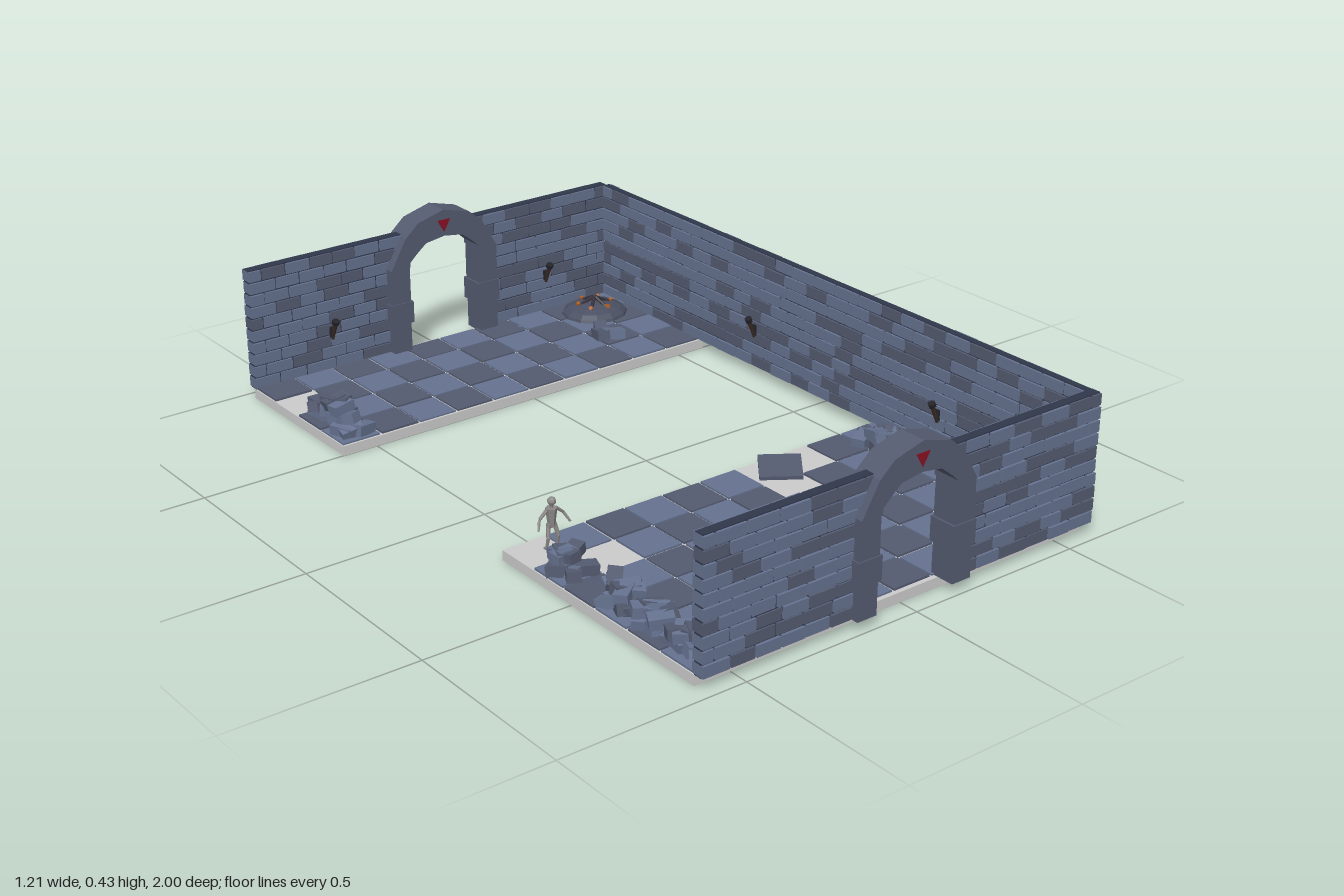
import * as THREE from 'three';
import { mergeGeometries } from 'three/addons/utils/BufferGeometryUtils.js';

const DARK = 0x545b70, LIGHT = 0x65728f, MORTAR = 0x2f374a, GREY = 0xcccccc;
const FLOOR_Y = 0.027;

let seed = 7;
const rnd = () => (seed = (seed * 16807) % 2147483647) / 2147483647;
const jitter = (a) => (rnd() - 0.5) * 2 * a;

const materials = {};
const mat = (color) => (materials[color] ??= new THREE.MeshStandardMaterial({ color, flatShading: true, side: THREE.DoubleSide }));

function mesh(name, geometry, color) {
  const m = new THREE.Mesh(geometry, mat(color));
  m.name = name;
  return m;
}

function box(w, h, d, x, y, z, rx = 0, ry = 0, rz = 0) {
  const g = new THREE.BoxGeometry(w, h, d);
  g.applyMatrix4(new THREE.Matrix4().makeRotationFromEuler(new THREE.Euler(rx, ry, rz)));
  return g.translate(x, y, z);
}

// Collects boxes by shade and merges each shade into one mesh
function shadedGroup(name, lists) {
  const group = new THREE.Group();
  group.name = name;
  for (const [part, list, color] of lists)
    if (list.length) group.add(mesh(part, mergeGeometries(list), color));
  return group;
}

// Running-bond brick wall along x; startAt(y) gives where a course begins
function brickWall(name, startAt, end, thick) {
  const dark = [], light = [], core = [];
  const rows = 10, pitch = 0.0343, len = 0.08, gap = 0.005;
  for (let r = 0; r < rows; r++) {
    const y = FLOOR_Y + (r + 0.5) * pitch, start = startAt(y);
    core.push(box(end - start - 0.006, pitch, thick - 0.012, (start + end) / 2, y, 0));
    let x0 = end;
    let next = end - (r % 2 ? len / 2 : len) + jitter(0.006);
    while (x0 > start + 0.01) {
      if (next - start < 0.025) next = start;
      const w = x0 - next - gap;
      (rnd() < 0.35 ? dark : light).push(
        box(w, pitch - gap, thick + jitter(0.003), (x0 + next) / 2, y, jitter(0.001)));
      x0 = next;
      next = x0 - len + jitter(0.012);
    }
  }
  return shadedGroup(name, [['mortar', core, MORTAR], ['darkBricks', dark, DARK], ['lightBricks', light, LIGHT]]);
}

// Stone arch: stacked leg blocks, wedge stones, keystone and a red marker
function archway() {
  const g = new THREE.Group();
  g.name = 'archway';
  const stone = (name, pts, depth) => {
    const geo = new THREE.ExtrudeGeometry(new THREE.Shape(pts.map(([x, y]) => new THREE.Vector2(x, y))),
      { depth, bevelEnabled: false });
    g.add(mesh(name, geo.translate(0, 0, -depth / 2), DARK));
  };
  stone('keystone', [[-0.085, 0.402], [-0.06, 0.339], [0, 0.348], [0.06, 0.339], [0.085, 0.402], [0, 0.425]], 0.075);
  for (const s of [-1, 1]) {
    const flip = (pts) => pts.map(([x, y]) => [x * s, y]);
    stone('archStone', flip([[0.085, 0.402], [0.06, 0.339], [0.093, 0.313], [0.127, 0.365]]), 0.075);
    stone('springerStone', flip([[0.127, 0.365], [0.093, 0.313], [0.114, 0.293], [0.114, 0.28], [0.176, 0.28]]), 0.075);
    const legs = [[FLOOR_Y, 0.115, 0.117, 0.174], [0.115, 0.178, 0.109, 0.18], [0.178, 0.28, 0.115, 0.176]];
    legs.forEach(([y0, y1, x0, x1], i) => g.add(mesh('legStone',
      box(x1 - x0, y1 - y0, i === 1 ? 0.075 : 0.068, s * (x0 + x1) / 2, (y0 + y1) / 2, 0), DARK)));
  }
  const tri = new THREE.Shape([[-0.021, 0.396], [0, 0.36], [0.021, 0.396]].map((p) => new THREE.Vector2(...p)));
  g.add(mesh('redMarker', new THREE.ExtrudeGeometry(tri, { depth: 0.002, bevelEnabled: false }).translate(0, 0, 0.0365), 0x8a1024));
  return g;
}

// Checkered floor slab with some tiles missing
function floor(name, z0, rowsZ, missing, slabZ) {
  const dark = [], light = [], p = 0.1177, s = p - 0.007;
  rowsZ.forEach((d, r) => {
    for (let c = 0; c < 10; c++)
      if (!missing.includes(`${c},${r}`))
        ((c + r) % 2 ? light : dark).push(
          box(s, 0.01, d - 0.007, -0.6 + (c + 0.5) * p, FLOOR_Y + jitter(0.001), z0 + d / 2));
    z0 += d;
  });
  const g = shadedGroup(name, [['darkTiles', dark, DARK], ['lightTiles', light, LIGHT]]);
  g.add(mesh('slab', box(1.19, FLOOR_Y, slabZ[1] - slabZ[0], -0.005, FLOOR_Y / 2, (slabZ[0] + slabZ[1]) / 2), GREY));
  return g;
}

// Heap of fallen bricks, stacked higher towards its middle
function rubble(name, cx, cz, rx, rz, count, layers) {
  const dark = [], light = [];
  for (let l = 0; l < layers; l++) {
    const k = 1 - l / (layers + 0.5);
    for (let i = 0; i < count * k; i++)
      (rnd() < 0.4 ? dark : light).push(box(0.06, 0.028, 0.036,
        cx + jitter(rx * k), FLOOR_Y + 0.018 + l * 0.026, cz + jitter(rz * k),
        jitter(0.25), jitter(1.6), jitter(0.25)));
  }
  return shadedGroup(name, [['darkRubble', dark, DARK], ['lightRubble', light, LIGHT]]);
}

// Tapered rod between two points
function rod(a, b, r0, r1 = r0) {
  const A = new THREE.Vector3(...a), d = new THREE.Vector3(...b).sub(A);
  const g = new THREE.CylinderGeometry(r1, r0, d.length(), 6);
  g.applyQuaternion(new THREE.Quaternion().setFromUnitVectors(new THREE.Vector3(0, 1, 0), d.clone().normalize()));
  return g.translate(...A.addScaledVector(d, 0.5).toArray());
}

// Wall torch facing +z
function torch(x, z, ry) {
  const g = new THREE.Group();
  g.name = 'wallTorch';
  g.add(mesh('bracket', box(0.014, 0.03, 0.005, 0, 0.14, 0.003), 0x24242a));
  g.add(mesh('handle', rod([0, 0.12, 0.004], [0, 0.175, 0.025], 0.004, 0.007), 0x3b2b24));
  g.add(mesh('ring', rod([0, 0.168, 0.022], [0, 0.18, 0.027], 0.01, 0.011), 0x24242a));
  g.position.set(x, 0, z);
  g.rotation.y = ry;
  return g;
}

// Small bony figure with its arms held away from the body
function figure() {
  const parts = [rod([0, 0.06, 0], [0, 0.105, 0], 0.009, 0.015), box(0.024, 0.01, 0.012, 0, 0.06, 0),
    rod([0, 0.105, 0], [0, 0.114, 0], 0.004), new THREE.SphereGeometry(0.011, 8, 6).translate(0, 0.123, 0.002)];
  for (const s of [-1, 1]) parts.push(
    rod([s * 0.009, 0.06, 0], [s * 0.014, 0.032, 0.006], 0.006, 0.005),
    rod([s * 0.014, 0.032, 0.006], [s * 0.015, 0.002, 0], 0.005, 0.004),
    box(0.01, 0.005, 0.02, s * 0.015, 0.003, 0.005),
    rod([s * 0.013, 0.102, 0], [s * 0.034, 0.084, 0], 0.005, 0.004),
    rod([s * 0.034, 0.084, 0], [s * 0.046, 0.06, 0.012], 0.004, 0.003));
  const m = mesh('bonyFigure', mergeGeometries(parts), 0x8c8a88);
  m.position.set(-0.5, FLOOR_Y, 0.285);
  return m;
}

export function createModel() {
  seed = 7;
  const model = new THREE.Group();
  model.name = 'ruinedHall';

  // Floors
  model.add(floor('frontFloor', 0.228, [0.119, 0.119, 0.119, 0.119, 0.119, 0.113],
    ['0,0', '6,0', '7,0', '1,1', '6,1', '3,4', '2,5'], [0.225, 0.945]));
  model.add(floor('backFloor', -0.957, [0.105, 0.117, 0.117, 0.117], ['0,1'], [-0.965, -0.498]));
  model.add(mesh('looseTile', box(0.11, 0.01, 0.11, 0.19, FLOOR_Y + 0.016, 0.305, 0.12, -0.65, 0.1), DARK));

  // End walls, each in two halves around an arch
  const besideArch = (y) => (y > 0.345 ? 0.115 : y > 0.31 ? 0.135 : 0.165);
  for (const [name, z, thick, archZ] of [['frontWall', 0.955, 0.037, 0.957], ['backWall', -0.971, 0.038, -0.9625]]) {
    const end = new THREE.Group();
    end.name = name;
    const left = brickWall('leftHalf', besideArch, z > 0 ? 0.602 : 0.59, thick);
    const right = brickWall('rightHalf', besideArch, 0.602, thick);
    right.rotation.y = Math.PI;
    left.position.z = right.position.z = z;
    const arch = archway();
    arch.position.z = archZ;
    end.add(left, right, arch);
    model.add(end);
  }

  // Long side wall
  const side = brickWall('sideWall', () => -0.96, 0.96, 0.03);
  side.rotation.y = Math.PI / 2;
  side.position.set(0.588, 0, 0.005);
  model.add(side);

  // Torches on the inner faces
  for (const x of [-0.36, 0.36]) model.add(torch(x, 0.936, Math.PI), torch(x, -0.952, 0));
  for (const z of [-0.25, 0.47]) model.add(torch(0.573, z, -Math.PI / 2));

  // Fallen bricks
  model.add(rubble('backRubble', -0.545, -0.62, 0.03, 0.1, 10, 3));
  for (const [z, n] of [[0.42, 7], [0.6, 7], [0.75, 9], [0.87, 8]])
    model.add(rubble('sideRubble', -0.54, z, 0.03, 0.06, n, 2));
  model.add(rubble('strayRubble', -0.45, 0.87, 0.03, 0.03, 2, 1));
  model.add(rubble('cornerRubble', 0.5, 0.36, 0.05, 0.055, 8, 2));
  model.add(rubble('scatteredStones', 0.36, -0.68, 0.04, 0.03, 3, 1));

  // Ash heap with embers and burnt sticks in the back corner
  const heap = new THREE.SphereGeometry(0.1, 12, 5, 0, Math.PI * 2, 0, Math.PI / 2);
  model.add(mesh('ashHeap', heap.scale(1, 0.4, 0.95).translate(0.46, FLOOR_Y, -0.845), 0x4a5062));
  const embers = [], sticks = [];
  for (let i = 0; i < 6; i++) {
    const a = i * 1.05 + 0.3, x = 0.46 + 0.05 * Math.cos(a), z = -0.845 + 0.05 * Math.sin(a);
    embers.push(box(0.01, 0.01, 0.01, x, FLOOR_Y + 0.036, z, a, a, 0));
    sticks.push(rod([x, FLOOR_Y + 0.03, z], [0.46, FLOOR_Y + 0.055, -0.845], 0.005));
  }
  model.add(mesh('embers', mergeGeometries(embers), 0xb0602a), mesh('burntSticks', mergeGeometries(sticks), 0x35303a));

  model.add(figure());
  return model;
}
